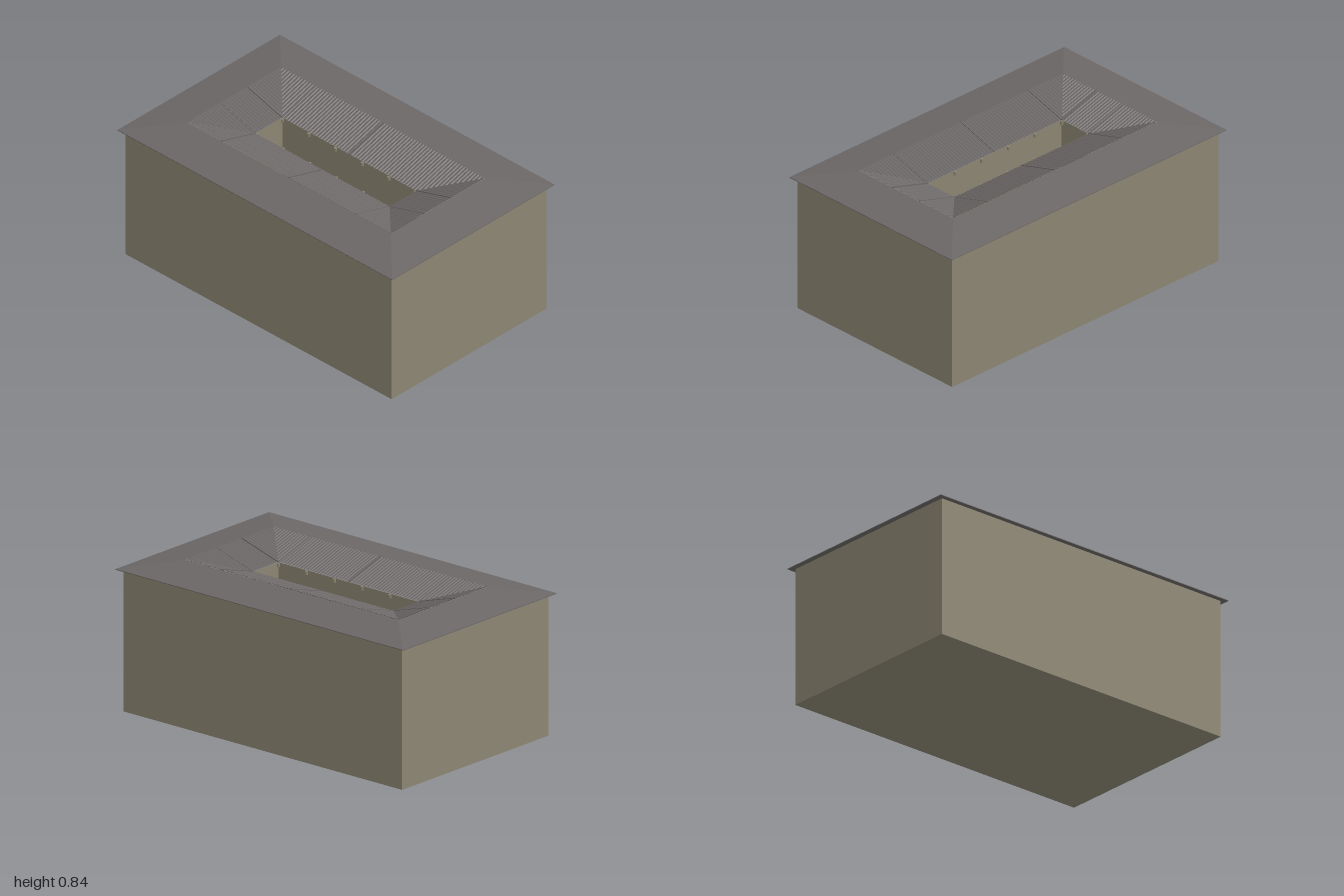
import * as THREE from 'three';

const wallMat = new THREE.MeshStandardMaterial({ color: 0x8c8672 });
wallMat.name = 'khaki wall';
const roofMat = new THREE.MeshStandardMaterial({ color: 0x6c6767, side: THREE.DoubleSide });
roofMat.name = 'grey roof';

// Key sizes: half widths (x), half lengths (z) and heights
const WALL = [0.585, 0.97], EAVE = [0.613, 1.0], RIDGE = [0.355, 0.742], COURT = [0.102, 0.489];
const EAVE_Y = 0.785, RIDGE_Y = 0.832, COURT_Y = 0.757;

function meshFrom(name, pos, mat) {
  const g = new THREE.BufferGeometry();
  g.setAttribute('position', new THREE.Float32BufferAttribute(pos, 3));
  g.computeVertexNormals();
  const m = new THREE.Mesh(g, mat);
  m.name = name;
  return m;
}

const quad = (pos, a, b, c, d) => pos.push(...a, ...b, ...c, ...a, ...c, ...d);

// Four-sided band joining one rectangle to another
function band(name, from, y0, to, y1, mat) {
  const signs = [[-1, 1], [1, 1], [1, -1], [-1, -1]];
  const corner = (r, y, i) => [r[0] * signs[i % 4][0], y, r[1] * signs[i % 4][1]];
  const pos = [];
  for (let i = 0; i < 4; i++) {
    quad(pos, corner(from, y0, i), corner(from, y0, i + 1), corner(to, y1, i + 1), corner(to, y1, i));
  }
  return meshFrom(name, pos, mat);
}

// Ribbed, mitred roof slope falling from the ridge to the courtyard (+z side)
function ribbedSlope(name, outerHalf, outerW, innerHalf, innerW) {
  const ribs = Math.round(outerHalf * 2 / 0.02), pitch = outerHalf * 2 / ribs;
  const profile = [[0, 0], [0.3, 0.004], [0.6, 0.004], [0.9, 0]];
  const samples = [];
  for (let i = 0; i < ribs; i++) {
    for (const [f, h] of profile) samples.push([-outerHalf + (i + f) * pitch, h]);
  }
  samples.push([outerHalf, 0]);
  const lines = samples.map(([u, h]) => {
    const t = Math.min(1, (outerHalf - Math.abs(u)) / (outerHalf - innerHalf));
    return [
      [u, RIDGE_Y + h, outerW],
      [u, RIDGE_Y + (COURT_Y - RIDGE_Y) * t + h, outerW + (innerW - outerW) * t],
    ];
  });
  const pos = [];
  for (let i = 0; i + 1 < lines.length; i++) {
    quad(pos, lines[i][0], lines[i + 1][0], lines[i + 1][1], lines[i][1]);
  }
  return meshFrom(name, pos, roofMat);
}

// Thin cap strip running down a slope at position u
function seamCap(u, outerW, innerW) {
  const run = outerW - innerW, drop = RIDGE_Y - COURT_Y;
  const cap = new THREE.Mesh(new THREE.BoxGeometry(0.006, 0.006, Math.hypot(run, drop)), roofMat);
  cap.position.set(u, (RIDGE_Y + COURT_Y) / 2 + 0.003, (outerW + innerW) / 2);
  cap.rotation.x = -Math.atan2(drop, run);
  cap.name = 'seamCap';
  return cap;
}

export function createModel() {
  const model = new THREE.Group();
  model.name = 'courtyardBuilding';

  // Ground slab, also the courtyard floor
  const floor = new THREE.Mesh(new THREE.BoxGeometry(WALL[0] * 2, 0.006, WALL[1] * 2), wallMat);
  floor.position.y = 0.003;
  floor.name = 'floor';
  model.add(floor);

  // Walls and outer roof
  model.add(
    band('outerWalls', WALL, 0, WALL, EAVE_Y, wallMat),
    band('courtyardWalls', COURT, COURT_Y, COURT, 0.006, wallMat),
    band('soffit', WALL, EAVE_Y, EAVE, EAVE_Y, roofMat),
    band('fascia', EAVE, EAVE_Y, EAVE, EAVE_Y + 0.004, roofMat),
    band('outerRoof', EAVE, EAVE_Y + 0.004, RIDGE, RIDGE_Y, roofMat),
  );

  // Inner roof slopes with their seam caps
  for (let i = 0; i < 4; i++) {
    const long = i % 2;
    const outerW = RIDGE[1 - long], innerW = COURT[1 - long];
    const outerHalf = RIDGE[long], innerHalf = COURT[long];
    const slope = new THREE.Group();
    slope.name = long ? 'sideSlope' : 'endSlope';
    slope.add(ribbedSlope('ribbedRoof', outerHalf, outerW, innerHalf, innerW));
    const seams = long ? [-innerHalf, 0, innerHalf] : [-innerHalf, innerHalf];
    for (const u of seams) slope.add(seamCap(u, outerW, innerW));
    slope.rotation.y = i * Math.PI / 2;
    model.add(slope);
  }

  // Small brackets below the courtyard eaves
  const bracketGeo = new THREE.CylinderGeometry(0.009, 0.009, 0.02, 8);
  for (const side of [-1, 1]) {
    for (let i = 0; i < 6; i++) {
      const bracket = new THREE.Mesh(bracketGeo, wallMat);
      bracket.position.set(side * 0.097, COURT_Y - 0.012, -0.485 + i * 0.194);
      bracket.name = 'eaveBracket';
      model.add(bracket);
    }
  }
  return model;
}
